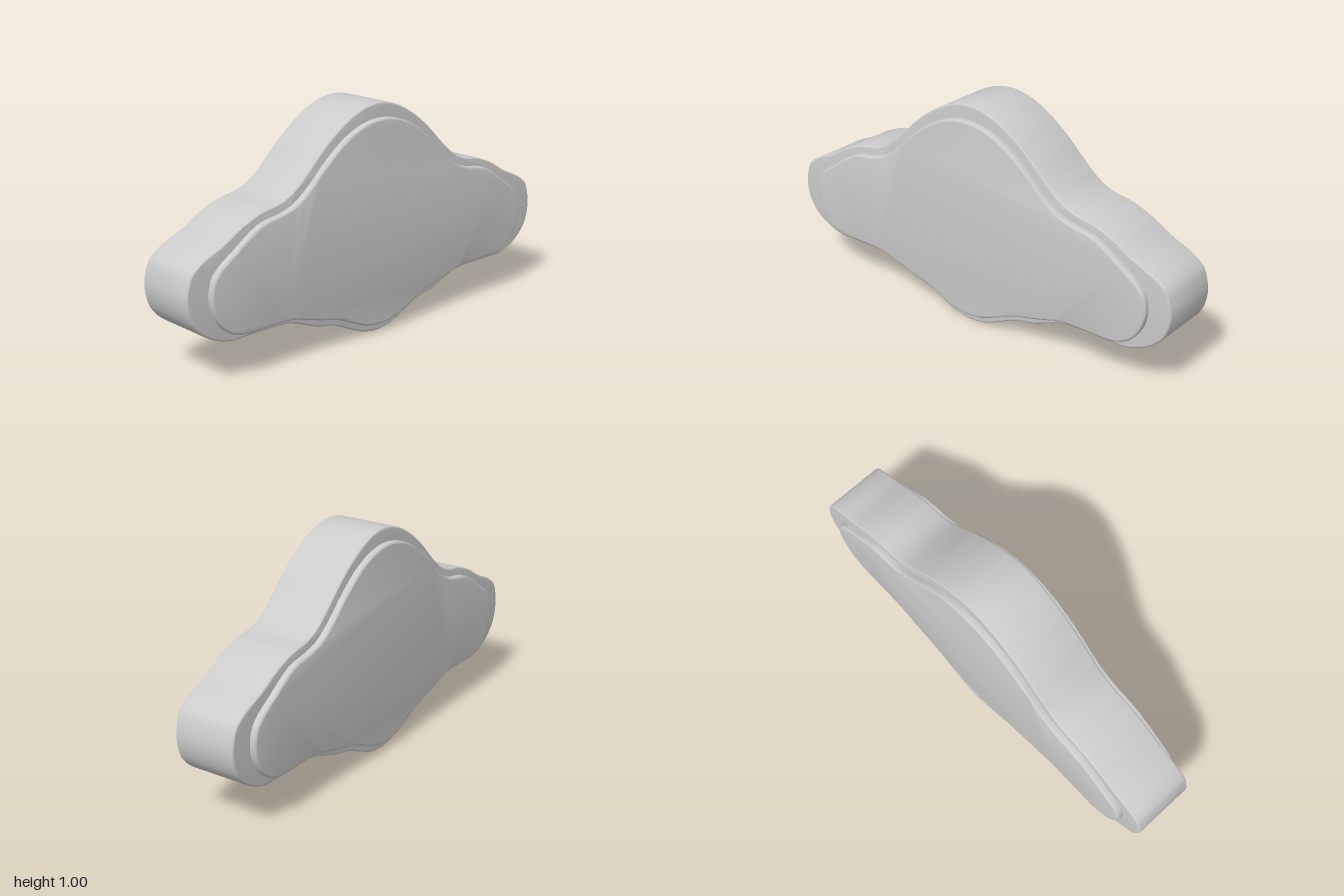
import * as THREE from 'three';
import { toCreasedNormals } from 'three/addons/utils/BufferGeometryUtils.js';

// Half outlines as [z, y], from top centre to bottom centre
const BODY = [
  [0, 1.003], [0.1, 0.985], [0.2, 0.935], [0.3, 0.86], [0.4, 0.765], [0.47, 0.708], [0.53, 0.68],
  [0.63, 0.66], [0.72, 0.625], [0.82, 0.568], [0.91, 0.528], [0.97, 0.485], [0.99, 0.44], [1, 0.37],
  [0.975, 0.28], [0.91, 0.215], [0.81, 0.173], [0.7, 0.17], [0.5, 0.165], [0.42, 0.138],
  [0.34, 0.108], [0.25, 0.088], [0.15, 0.043], [0.08, 0.015], [0, 0.003],
];
const PANEL = [
  [0, 0.94], [0.1, 0.925], [0.2, 0.88], [0.3, 0.805], [0.4, 0.713], [0.47, 0.663], [0.54, 0.639],
  [0.64, 0.62], [0.7, 0.59], [0.78, 0.535], [0.85, 0.487], [0.885, 0.445], [0.9, 0.37],
  [0.88, 0.29], [0.83, 0.225], [0.76, 0.194], [0.6, 0.191], [0.5, 0.187], [0.42, 0.165],
  [0.33, 0.14], [0.25, 0.12], [0.15, 0.076], [0.08, 0.05], [0, 0.04],
];

// Smooth closed shape from a half outline mirrored across z = 0
function mirroredShape(half) {
  const other = half.slice(1, -1).reverse().map(([z, y]) => [-z, y]);
  const points = [...half, ...other].map(([z, y]) => new THREE.Vector3(z, y, 0));
  const curve = new THREE.CatmullRomCurve3(points, true, 'centripetal');
  const outline = curve.getPoints(points.length * 4).slice(0, -1);
  return new THREE.Shape(outline.map((p) => new THREE.Vector2(p.x, p.y)));
}

// Slab with softened edges, lying between two x positions
function slab(name, half, x0, x1, bevel, material) {
  const geometry = new THREE.ExtrudeGeometry(mirroredShape(half), {
    depth: x1 - x0 - 2 * bevel,
    bevelThickness: bevel,
    bevelSize: bevel,
    bevelOffset: -bevel,
    bevelSegments: 3,
  });
  geometry.translate(0, 0, x0 + bevel);
  geometry.rotateY(Math.PI / 2);
  const mesh = new THREE.Mesh(toCreasedNormals(geometry, 0.65), material);
  mesh.name = name;
  return mesh;
}

export function createModel() {
  const group = new THREE.Group();
  group.name = 'wavyPlaque';
  const material = new THREE.MeshStandardMaterial({ color: 0xcccccc });

  // Thick central body
  group.add(slab('body', BODY, -0.14, 0.14, 0.008, material));

  // Raised panels on both broad sides
  group.add(slab('leftPanel', PANEL, 0.12, 0.168, 0.01, material));
  group.add(slab('rightPanel', PANEL, -0.168, -0.12, 0.01, material));
  return group;
}
